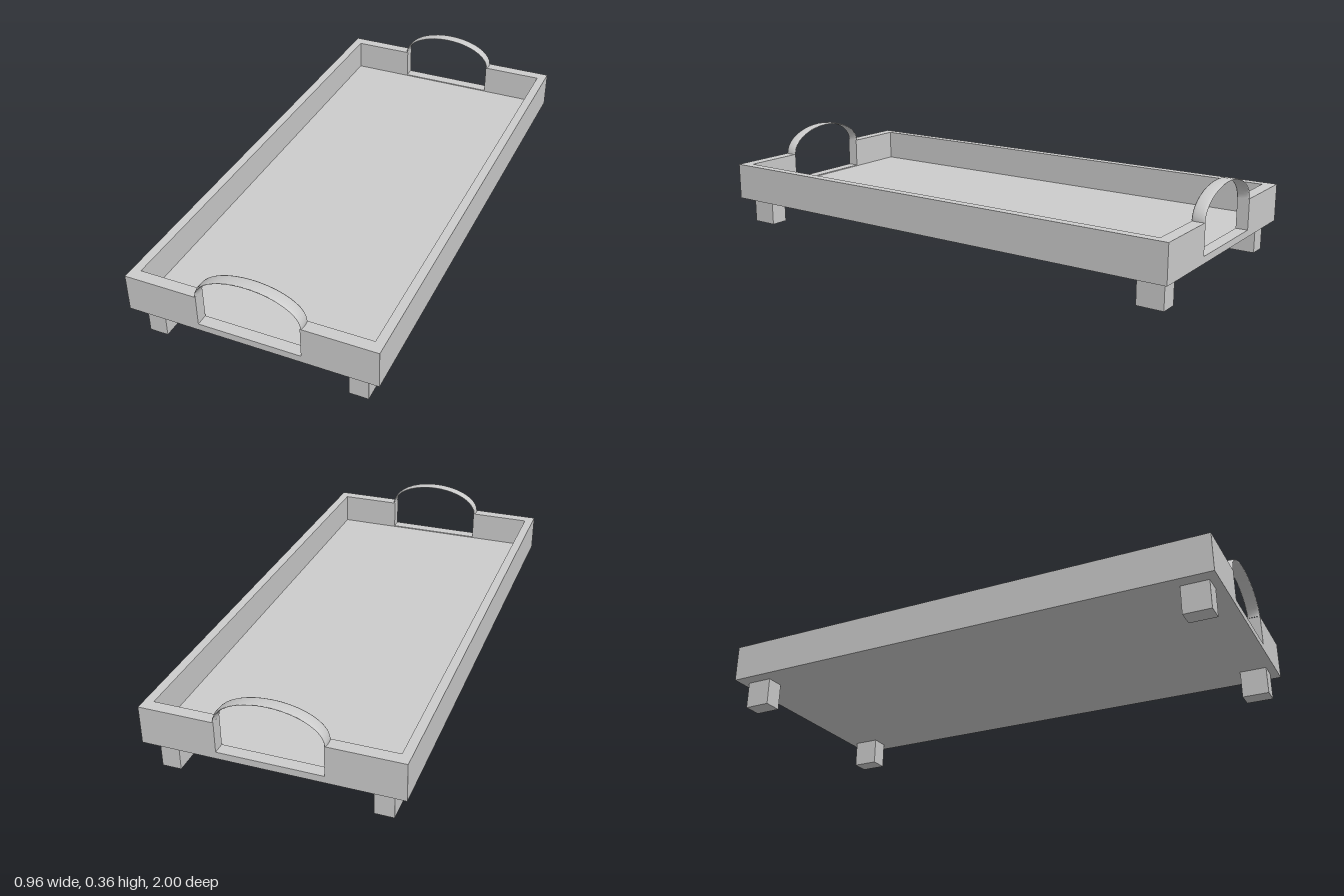
import * as THREE from 'three';

export function createModel() {
  const group = new THREE.Group();
  const material = new THREE.MeshStandardMaterial({ color: 0xcccccc });
  const W = 0.48, L = 1, BOTTOM = 0.108, TOP = 0.255; // tray half sizes and heights
  const IN_X = 0.445, IN_Z = 0.953, GAP = 0.197, SILL = 0.135;

  const add = (name, geometry, x, y, z) => {
    const mesh = new THREE.Mesh(geometry, material);
    mesh.name = name;
    mesh.position.set(x, y, z);
    group.add(mesh);
    return mesh;
  };

  // Tray floor
  const floorTop = 0.131;
  add('floor', new THREE.BoxGeometry(IN_X * 2, floorTop - BOTTOM, IN_Z * 2), 0, (floorTop + BOTTOM) / 2, 0);

  // End wall outline with the hand opening cut from its top edge
  const outline = new THREE.Shape([
    [-W, BOTTOM], [W, BOTTOM], [W, TOP], [GAP, TOP],
    [GAP, SILL], [-GAP, SILL], [-GAP, TOP], [-W, TOP],
  ].map(([x, y]) => new THREE.Vector2(x, y)));
  const endWall = new THREE.ExtrudeGeometry(outline, { depth: L - IN_Z, bevelEnabled: false });
  add('frontWall', endWall, 0, 0, IN_Z);
  add('backWall', endWall, 0, 0, -L);

  // Side walls
  const sideWall = new THREE.BoxGeometry(W - IN_X, TOP - BOTTOM, IN_Z * 2);
  for (const s of [-1, 1]) {
    add(s > 0 ? 'leftWall' : 'rightWall', sideWall, s * (W + IN_X) / 2, (TOP + BOTTOM) / 2, 0);
  }

  // Arched strap handles: half rings flattened to a wide, thin section
  const handle = new THREE.TorusGeometry(0.2, 0.005, 12, 20, Math.PI);
  handle.scale(1, 0.53, 5);
  for (const s of [-1, 1]) {
    add(s > 0 ? 'frontHandle' : 'backHandle', handle, 0, TOP, s * 0.975);
  }

  // Feet
  const foot = new THREE.BoxGeometry(0.072, BOTTOM, 0.104);
  for (const sx of [-1, 1]) {
    for (const sz of [-1, 1]) {
      add(`${sz > 0 ? 'front' : 'back'}${sx > 0 ? 'Left' : 'Right'}Foot`, foot, sx * 0.393, BOTTOM / 2, sz * 0.917);
    }
  }
  return group;
}
